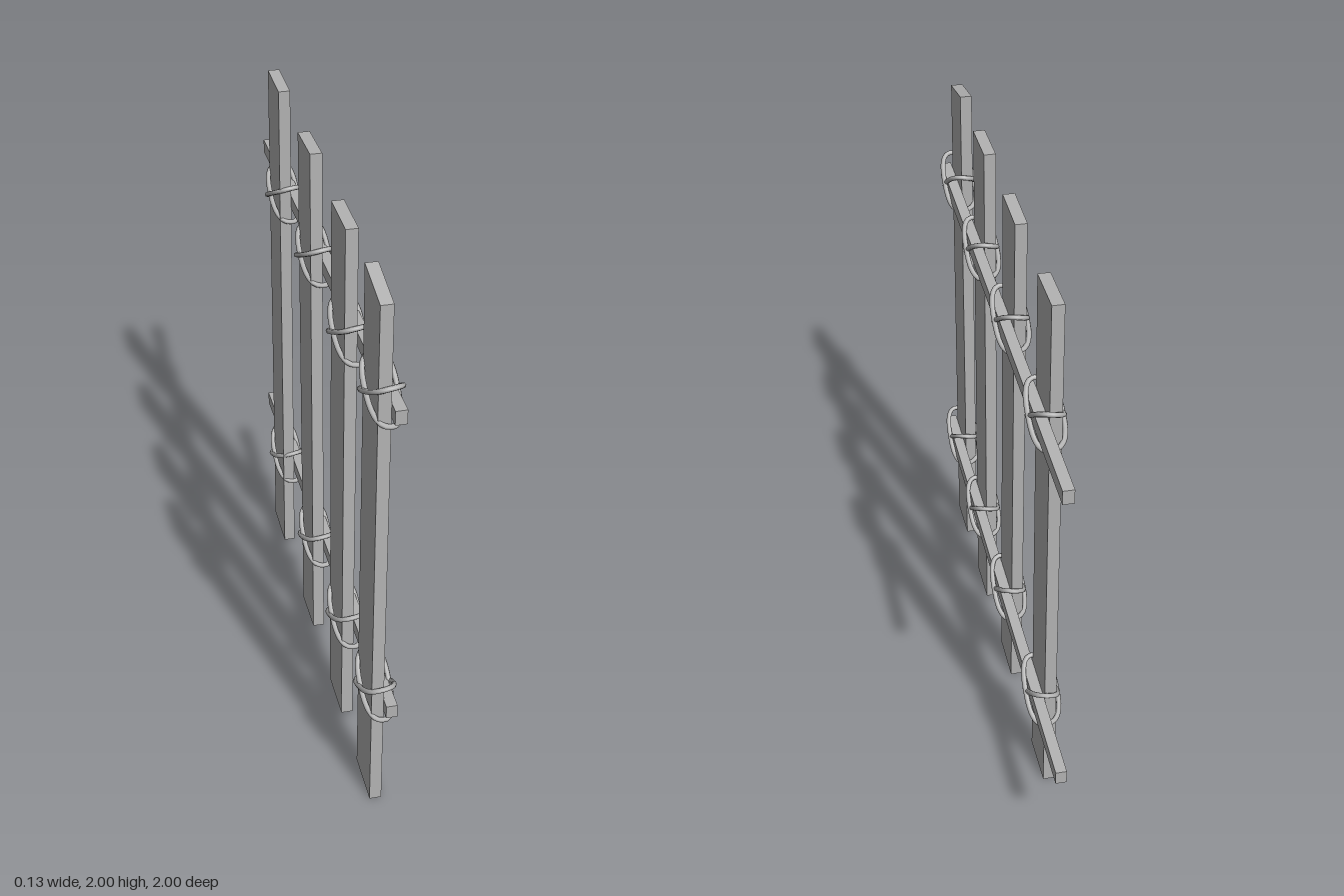
import * as THREE from 'three';

// Closed superellipse ring that lashes a rail to a plank
class LashingCurve extends THREE.Curve {
  constructor(slant, shift) {
    super();
    this.slant = slant;
    this.shift = shift;
  }
  getPoint(t, target = new THREE.Vector3()) {
    const a = t * Math.PI * 2;
    const soft = (v) => Math.sign(v) * Math.pow(Math.abs(v), 0.75);
    const c = soft(Math.cos(a)), s = soft(Math.sin(a));
    // the rope crosses steeply over the rail and a little flatter behind the plank
    const rise = 0.067 + 0.009 * c;
    return target.set(-0.003 + 0.052 * c + this.shift * c, this.slant * rise * s, 0.106 * s);
  }
}

export function createModel() {
  const group = new THREE.Group();
  const wood = new THREE.MeshStandardMaterial({ color: 0xb3b3b3 });
  wood.name = 'grey';

  // Four-sided board: outline in (z, y), thickness from x0 to x1
  function board(name, corners, x0, x1) {
    const shape = new THREE.Shape(corners.map(([z, y]) => new THREE.Vector2(-z, y)));
    const geo = new THREE.ExtrudeGeometry(shape, { depth: x1 - x0, bevelEnabled: false });
    geo.rotateY(Math.PI / 2).translate(x0, 0, 0);
    const mesh = new THREE.Mesh(geo, wood);
    mesh.name = name;
    group.add(mesh);
  }

  // Upright planks, slightly crooked: bottom z pair, then top corners
  const planks = [
    [[0.967, 0], [0.78, 0], [0.77, 2], [0.955, 1.965]],
    [[0.543, 0], [0.355, 0], [0.34, 1.98], [0.53, 1.98]],
    [[0.07, 0.008], [-0.115, 0], [-0.16, 1.98], [0.03, 1.99]],
    [[-0.48, 0], [-0.67, 0], [-0.67, 1.985], [-0.48, 1.985]],
  ];
  planks.forEach((p, i) => board(`plank${i + 1}`, p, -0.037, 0.004));

  // Sloping rails
  [['lowerRail', 0.405], ['upperRail', 1.58]].forEach(([name, y]) =>
    board(name, [[1, y], [-1, y - 0.073], [-1, y - 0.023], [1, y + 0.05]], 0.004, 0.042));

  // Crossed rope lashings at every joint (z, y)
  const joints = [
    [0.86, 1.62], [0.437, 1.568], [-0.06, 1.573], [-0.582, 1.542],
    [0.87, 0.443], [0.447, 0.39], [-0.033, 0.373], [-0.585, 0.365],
  ];
  const ropes = [1, -1].map((slant) =>
    new THREE.TubeGeometry(new LashingCurve(slant, slant * 0.003), 40, 0.009, 7, true));
  joints.forEach(([z, y], i) => {
    const lashing = new THREE.Group();
    lashing.name = `lashing${i + 1}`;
    ropes.forEach((geo, j) => {
      const rope = new THREE.Mesh(geo, wood);
      rope.name = j ? 'fallingRope' : 'risingRope';
      lashing.add(rope);
    });
    lashing.position.set(0, y, z);
    group.add(lashing);
  });

  return group;
}
